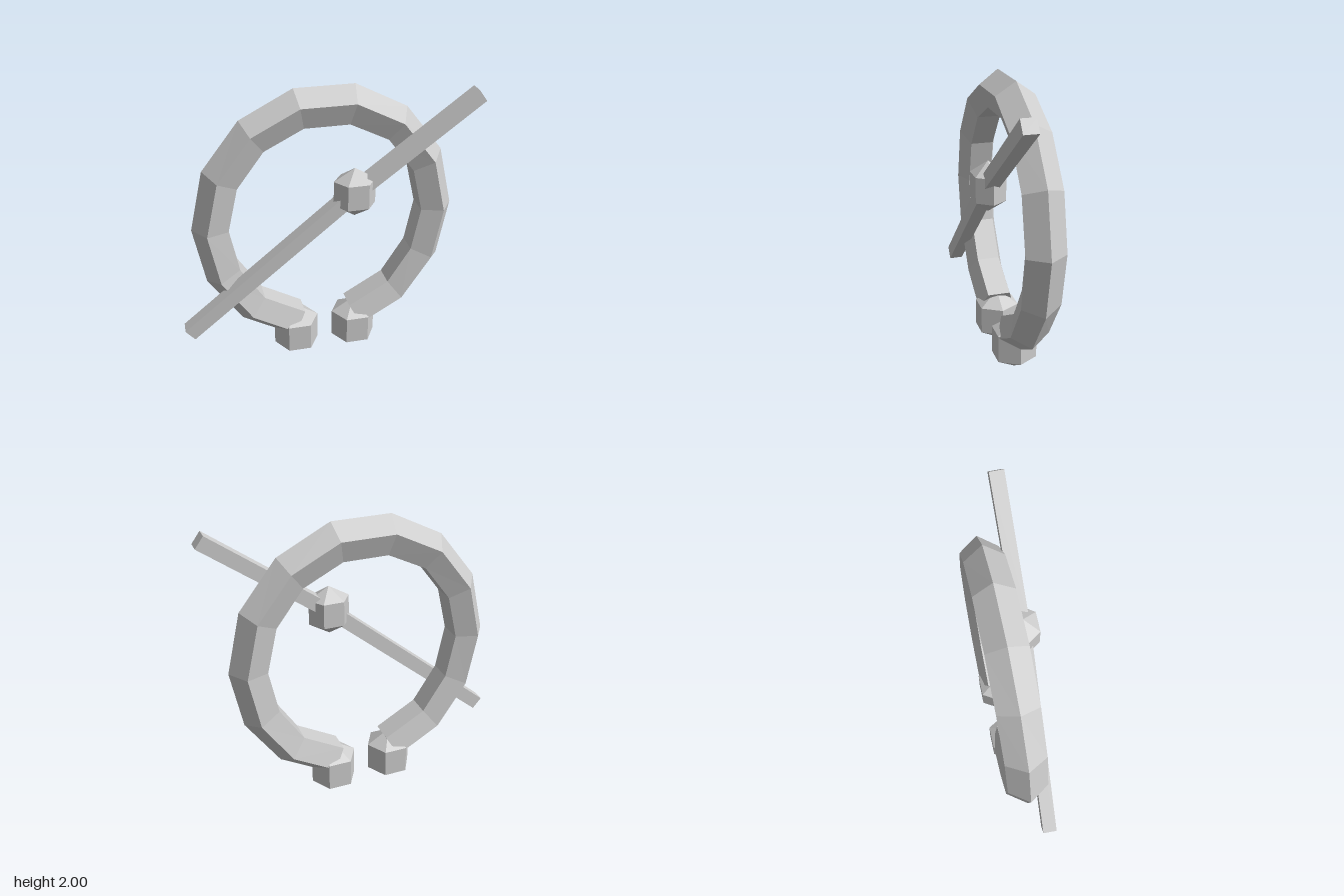
import * as THREE from 'three';

export function createModel() {
  const group = new THREE.Group();
  const metal = new THREE.MeshStandardMaterial({ color: 0xcccccc, flatShading: true });
  metal.name = 'grey metal';

  const add = (name, geometry, parent = group) => {
    const mesh = new THREE.Mesh(geometry, metal);
    mesh.name = name;
    parent.add(mesh);
    return mesh;
  };

  // Open ring: [outer x, outer y, inner x, inner y] from the left end to the top
  const half = [
    [0.28, 0.17, 0.16, 0.38], [0.59, 0.35, 0.44, 0.54], [0.82, 0.69, 0.6, 0.79],
    [0.895, 1.09, 0.66, 1.09], [0.8, 1.5, 0.59, 1.39], [0.55, 1.82, 0.41, 1.63],
    [0.2, 2.0, 0.15, 1.76],
  ];
  const stations = [...half, ...half.map(([a, b, c, d]) => [-a, b, -c, d]).reverse()];
  // Pentagonal cross-section: [fraction from outer to inner, z]
  const section = [[0, 0], [0.382, 0.13], [1, 0.08], [1, -0.08], [0.382, -0.13]];
  const ringZ = -0.07;
  const n = section.length;
  const positions = [];
  for (const [ox, oy, ix, iy] of stations) {
    for (const [t, z] of section) positions.push(ox + (ix - ox) * t, oy + (iy - oy) * t, ringZ + z);
  }
  const index = [];
  for (let i = 0; i < stations.length - 1; i++) {
    for (let j = 0; j < n; j++) {
      const a = i * n + j, b = i * n + (j + 1) % n, c = b + n, d = a + n;
      index.push(a, d, c, a, c, b);
    }
  }
  // End caps
  const last = (stations.length - 1) * n;
  for (let j = 1; j < n - 1; j++) {
    index.push(0, j, j + 1, last, last + j + 1, last + j);
  }
  const ring = new THREE.BufferGeometry();
  ring.setAttribute('position', new THREE.Float32BufferAttribute(positions, 3));
  ring.setIndex(index);
  const ringFlat = ring.toNonIndexed();
  ringFlat.computeVertexNormals();
  add('openRing', ringFlat);

  // Six-sided beads with pointed top and bottom
  const bead = (name, radius, sx, sz, x, y, z) => {
    const geometry = new THREE.SphereGeometry(radius, 6, 3);
    geometry.scale(sx, 1, sz);
    add(name, geometry).position.set(x, y, z);
  };
  bead('leftEndBead', 0.195, 0.93, 0.93, 0.208, 0.198, -0.068);
  bead('rightEndBead', 0.195, 0.93, 0.93, -0.212, 0.198, -0.068);
  bead('pinBead', 0.17, 0.95, 0.785, 0.16, 1.33, 0.1);

  // Square pin, slightly bent inside its bead
  const pin = new THREE.Group();
  pin.name = 'pin';
  group.add(pin);
  const bar = (name, from, to) => {
    const a = new THREE.Vector3(...from), b = new THREE.Vector3(...to);
    const along = b.clone().sub(a);
    const length = along.length();
    along.normalize();
    const up = new THREE.Vector3(0, 0, 1).cross(along).normalize();
    const out = along.clone().cross(up);
    const mesh = add(name, new THREE.BoxGeometry(length, 0.094, 0.095), pin);
    mesh.quaternion.setFromRotationMatrix(new THREE.Matrix4().makeBasis(along, up, out));
    mesh.position.copy(a).add(b).multiplyScalar(0.5);
  };
  bar('pinShaft', [-0.972, 0.382, 0.057], [0.16, 1.33, 0.102]);
  bar('pinTail', [0.16, 1.33, 0.102], [0.972, 1.93, 0.102]);

  return group;
}
